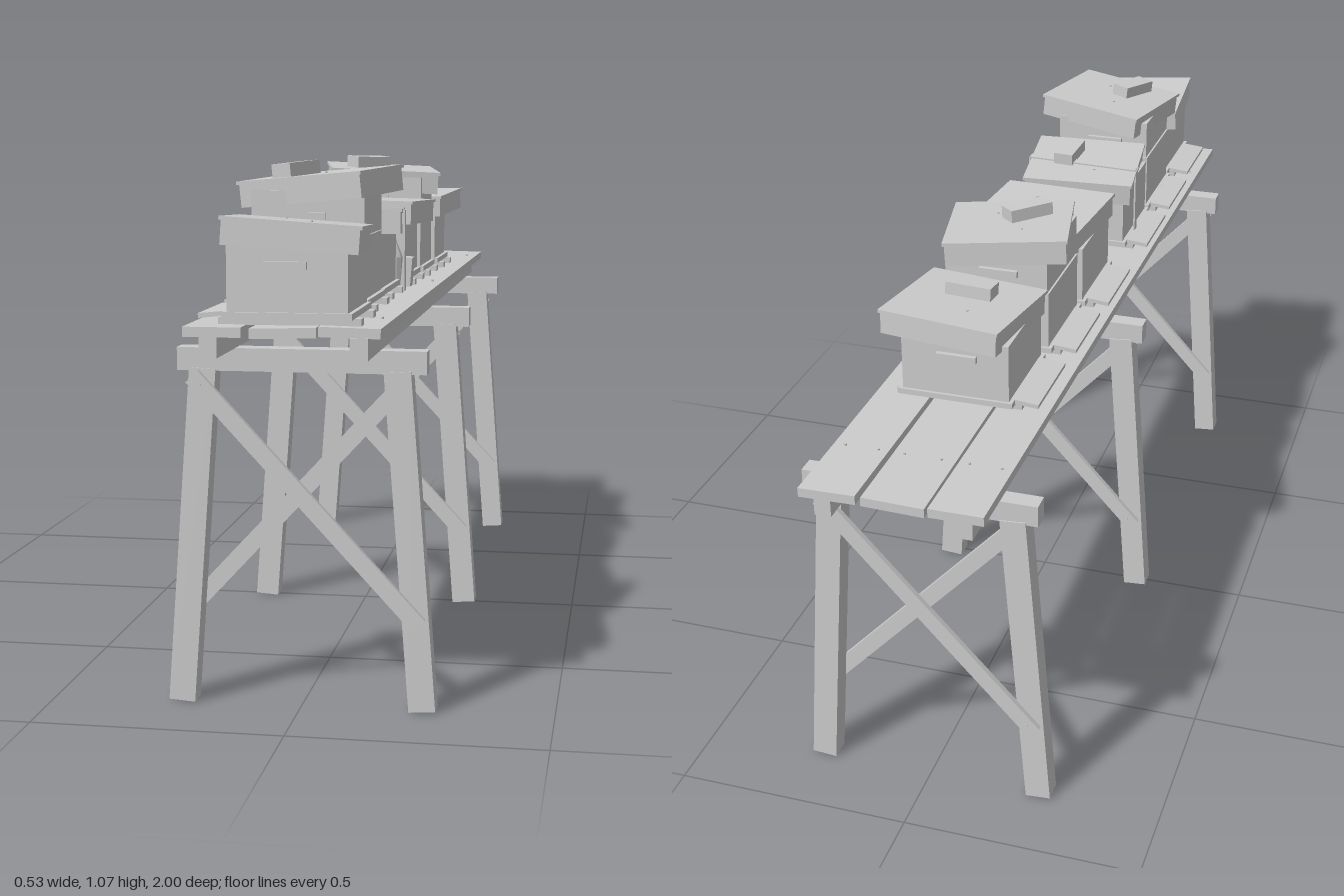
import * as THREE from 'three';

export function createModel() {
  const model = new THREE.Group();
  model.name = 'hiveStand';
  const grey = new THREE.MeshStandardMaterial({ color: 0xcccccc });
  grey.name = 'plain grey';

  const add = (parent, name, geo, x, y, z, rx = 0, ry = 0, rz = 0) => {
    const m = new THREE.Mesh(geo, grey);
    m.name = name;
    m.position.set(x, y, z);
    m.rotation.set(rx, ry, rz, 'YXZ');
    parent.add(m);
    return m;
  };
  const box = (parent, name, w, h, d, x, y, z, rx, ry, rz) =>
    add(parent, name, new THREE.BoxGeometry(w, h, d), x, y, z, rx, ry, rz);
  const group = (name, x, y, z) => {
    const g = new THREE.Group();
    g.name = name;
    g.position.set(x, y, z);
    model.add(g);
    return g;
  };
  const nailGeo = new THREE.CylinderGeometry(0.003, 0.003, 0.004, 6);

  // Bar in the xy plane between two points
  const bar = (parent, name, a, b, w, d, z) => {
    const dx = b[0] - a[0], dy = b[1] - a[1];
    box(parent, name, w, Math.hypot(dx, dy), d,
      (a[0] + b[0]) / 2, (a[1] + b[1]) / 2, z, 0, 0, Math.atan2(-dx, dy));
  };

  // Three trestles with splayed legs and crossed braces
  for (const z of [0.81, -0.005, -0.825]) {
    const t = group('trestle', 0, 0, z);
    box(t, 'crossBeam', 0.49, 0.045, 0.04, 0.003, 0.693, 0);
    for (const s of [-1, 1]) {
      bar(t, 'leg', [s * 0.241, 0.004], [s * 0.191, 0.675], 0.053, 0.046, 0);
      bar(t, 'brace', [-s * 0.21, 0.66], [s * 0.235, 0.18], 0.034, 0.012, s * 0.028);
      add(t, 'braceNail', nailGeo, -s * 0.195, 0.644, s * 0.034, Math.PI / 2);
      add(t, 'braceNail', nailGeo, s * 0.22, 0.196, s * 0.034, Math.PI / 2);
    }
  }

  // Long rails under the deck
  for (const x of [-0.143, 0.14])
    box(model, 'rail', 0.034, 0.042, 1.97, x, 0.736, -0.005);

  // Deck planks: x, width, front end, height, twist, roll
  const planks = [
    [-0.131, 0.11, 1.0, 0.766, 0, 0],
    [-0.003, 0.126, 0.99, 0.765, 0.003, 0.03],
    [0.124, 0.116, 0.975, 0.766, -0.002, -0.02],
  ];
  for (const [x, w, end, y, ry, rz] of planks) {
    box(model, 'plank', w, 0.019, end + 1, x, y, (end - 1) / 2, 0, ry, rz);
    for (const z of [0.81, -0.005, -0.825])
      for (const s of [-1, 1])
        add(model, 'plankNail', nailGeo, x + s * w * 0.3, 0.777, z);
  }

  // Hives: body z, body x, storeys, lid [x, y, z, rx, ry, rz], brick [x, z, ry, length]
  const hives = [
    { z: 0.858, x: 0.005, tall: 0, lid: [0.005, 0.961, 0.855, -0.04, 0.075, -0.07] },
    { z: 0.605, x: -0.005, tall: 1, lid: [0.004, 1.043, 0.603, 0.03, -0.2, 0.09], brick: [-0.034, 0.048, -0.25, 0.1] },
    { z: 0.357, x: -0.008, tall: 0, lid: [0.003, 0.955, 0.35, -0.06, 0.12, 0.02], brick: [0.041, 0.015, -0.17, 0.1], strap: 1 },
    { z: 0.008, x: -0.005, tall: 0, lid: [0.01, 0.966, 0.005, -0.02, -0.09, -0.02], brick: [-0.037, -0.022, -0.6, 0.055] },
    { z: -0.24, x: 0.0, tall: 1, lid: [0.003, 1.034, -0.25, 0.04, 0.22, -0.05], brick: [-0.036, 0.033, -1.0, 0.1] },
    { z: -0.5, x: 0.005, tall: 0, lid: [0.02, 0.961, -0.505, 0.05, -0.11, 0.02], brick: [-0.001, 0.035, 1.62, 0.1] },
  ];
  for (const h of hives) {
    const g = group('hive', h.x, 0, h.z);

    // Runners, bottom board and sloping landing board on the right side
    for (const s of [-1, 1])
      box(g, 'runner', 0.27, 0.014, 0.03, 0, 0.782, s * 0.075);
    box(g, 'bottomBoard', 0.245, 0.012, 0.235, 0, 0.795, 0);
    box(g, 'landingBoard', 0.07, 0.009, 0.195, -0.137, 0.795, 0, 0, 0, 0.1);

    // Stacked boxes with hand cleats on both ends
    box(g, 'broodBox', 0.228, 0.126, 0.222, 0, 0.862, 0);
    if (h.tall) box(g, 'upperBox', 0.226, 0.088, 0.224, 0.002, 0.971, 0);
    for (const s of [-1, 1]) {
      box(g, 'cleat', 0.085, 0.014, 0.01, -0.005, 0.888, s * 0.116);
      if (h.tall) box(g, 'cleat', 0.085, 0.014, 0.01, -0.005, 0.965, s * 0.117);
    }

    // Tilted telescoping lid, open underneath
    const [lx, ly, lz, rx, ry, rz] = h.lid;
    const lid = group('lid', lx, ly, lz);
    lid.rotation.set(rx, ry, rz, 'YXZ');
    box(lid, 'roof', 0.264, 0.007, 0.256, 0, 0, 0);
    for (const s of [-1, 1]) {
      box(lid, 'lidRim', 0.256, 0.046, 0.01, 0, -0.026, s * 0.118);
      box(lid, 'lidRim', 0.01, 0.046, 0.226, s * 0.123, -0.026, 0);
      add(lid, 'lidNail', nailGeo, s * 0.03, 0.004, s * 0.05);
    }
    if (h.brick) {
      const [bx, bz, bry, len] = h.brick;
      box(lid, 'brick', 0.046, 0.027, len, bx, 0.017, bz, 0, bry);
    }

    // Strap over the lid and down both sides
    if (h.strap) {
      box(lid, 'strapTop', 0.272, 0.004, 0.02, 0, 0.005, -0.018, 0, -0.12);
      for (const s of [-1, 1])
        box(g, 'strapSide', 0.004, 0.175, 0.02, s * 0.134 + 0.011, 0.872, -0.025);
    }
  }

  // Smoker can with conical spout and small bellows
  const smoker = group('smoker', 0.09, 0.776, 0.18);
  const profile = [[0, 0], [0.023, 0], [0.023, 0.07], [0.02, 0.078], [0.008, 0.108], [0.006, 0.128], [0, 0.128]];
  add(smoker, 'smokerCan', new THREE.LatheGeometry(profile.map(p => new THREE.Vector2(...p)), 12), 0, 0, 0)
    .geometry = new THREE.LatheGeometry(profile.map(p => new THREE.Vector2(...p)), 12).toNonIndexed();
  smoker.children[0].geometry.computeVertexNormals();
  box(smoker, 'bellows', 0.022, 0.065, 0.044, 0.034, 0.038, 0, 0, 0, -0.08);

  return model;
}
